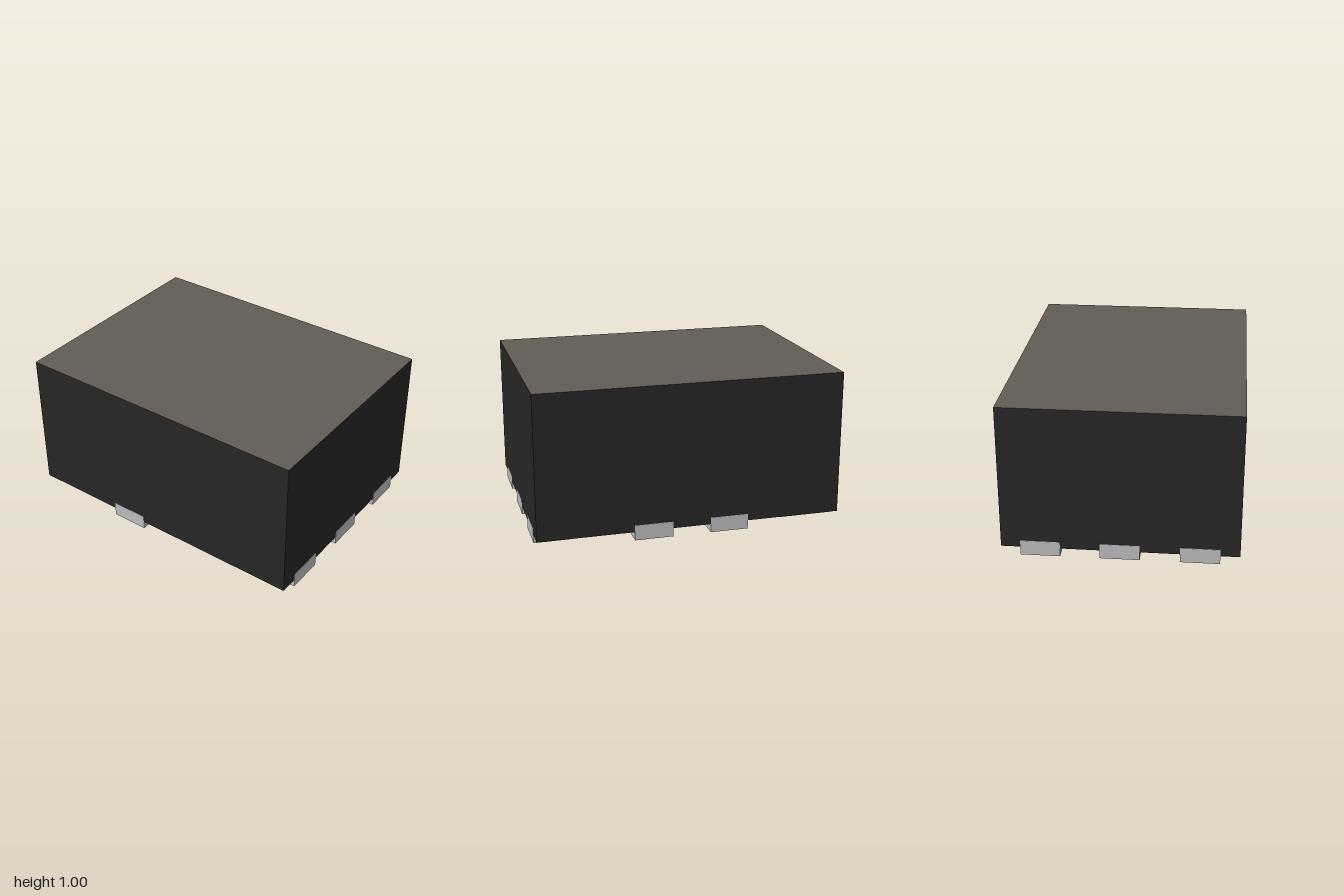
import * as THREE from 'three';
import { toCreasedNormals } from 'three/addons/utils/BufferGeometryUtils.js';

const WIDTH = 2, DEPTH = 1.5, HEIGHT = 1;
const STANDOFF = 0.055; // gap under the body
const PAD_W = 0.25, PAD_TOP = 0.1;
const PROUD = 0.002; // how far the terminals stand out of the body

function material(name, color) {
  const m = new THREE.MeshStandardMaterial({ color });
  m.name = name;
  return m;
}

// Pad outline: y = 0 is the package edge, y = length the inner end
function padShape(length, chamfer) {
  const r = PAD_W / 2;
  const s = new THREE.Shape();
  s.moveTo(-r, 0);
  s.lineTo(r, 0);
  if (chamfer) {
    s.lineTo(r, length - chamfer);
    s.lineTo(r - chamfer, length);
    s.lineTo(-r, length);
  } else {
    s.lineTo(r, length - r);
    s.absarc(0, length - r, r, 0, Math.PI, false);
  }
  s.closePath();
  return s;
}

// Contact pad with its upright terminal on the package side
function makePad(name, length, chamfer, metal) {
  const group = new THREE.Group();
  group.name = name;

  let geo = new THREE.ExtrudeGeometry(padShape(length, chamfer), {
    depth: STANDOFF, bevelEnabled: false, curveSegments: 24,
  });
  geo.rotateX(-Math.PI / 2);
  geo = toCreasedNormals(geo, Math.PI / 6);
  const sole = new THREE.Mesh(geo, metal);
  sole.name = 'contactPad';

  const h = PAD_TOP - STANDOFF;
  const terminal = new THREE.Mesh(new THREE.BoxGeometry(PAD_W, h, 0.03), metal);
  terminal.name = 'sideTerminal';
  terminal.position.set(0, STANDOFF + h / 2, -0.015);

  group.add(sole, terminal);
  return group;
}

export function createModel() {
  const model = new THREE.Group();
  model.name = 'chipPackage';
  const black = material('blackBody', 0x262626);
  const brown = material('brownGreyTop', 0x615c54);
  const metal = material('metalGrey', 0xbbbbbf);

  // Moulded block, with the top face in its own colour
  const h = HEIGHT - STANDOFF;
  const body = new THREE.Mesh(
    new THREE.BoxGeometry(WIDTH - 2 * PROUD, h, DEPTH - 2 * PROUD),
    [black, black, brown, black, black, black],
  );
  body.name = 'body';
  body.position.y = STANDOFF + h / 2;
  model.add(body);

  const place = (name, x, z, turn, length, chamfer = 0) => {
    const pad = makePad(name, length, chamfer, metal);
    pad.position.set(x, 0, z);
    pad.rotation.y = turn;
    model.add(pad);
  };

  // Three pads on each short side, the first one chamfered
  for (const z of [-0.5, 0, 0.5]) {
    place('leftPad', WIDTH / 2, z, Math.PI / 2, 0.35);
    place('rightPad', -WIDTH / 2, z, -Math.PI / 2, 0.35, z < 0 ? 0.15 : 0);
  }

  // Long and short pads on the front and back sides
  place('frontLongPad', -0.25, DEPTH / 2, 0, 0.8);
  place('backShortPad', -0.25, -DEPTH / 2, Math.PI, 0.35);
  place('backLongPad', 0.25, -DEPTH / 2, Math.PI, 1.1);

  return model;
}
